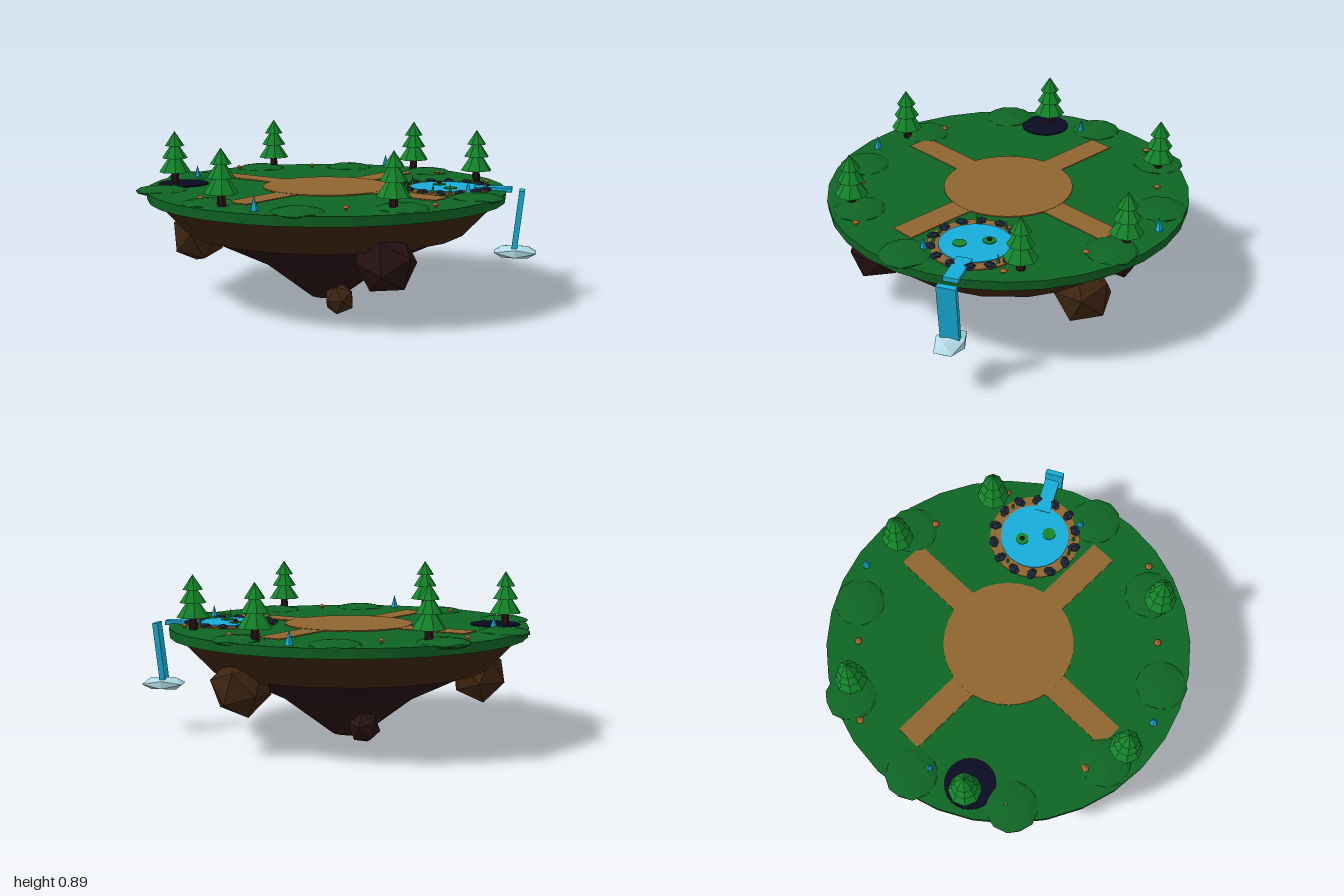
import * as THREE from 'three';

const paint = (name, color, extra = {}) => {
  const m = new THREE.MeshStandardMaterial({ color, flatShading: true, ...extra });
  m.name = name;
  return m;
};

export function createModel() {
  const island = new THREE.Group();
  island.name = 'floatingIsland';

  const grass = paint('grass green', 0x0f6424);
  const leaf = paint('foliage green', 0x14842a);
  const sand = paint('path tan', 0x8f642f);
  const dirt = paint('dirt brown', 0x3d2410);
  const deep = paint('deep rock', 0x271113);
  const water = paint('water blue', 0x16acd8);
  const foamWhite = paint('foam', 0xb0dbe6);
  const stone = paint('stone slate', 0x1c2536);
  const voidBlue = paint('hollow navy', 0x0a0a22);
  const cap = paint('mushroom orange', 0xa85f2c);

  const add = (name, geo, mat, x = 0, y = 0, z = 0, parent = island) => {
    const m = new THREE.Mesh(geo, mat);
    m.name = name;
    m.position.set(x, y, z);
    parent.add(m);
    return m;
  };
  const cyl = (top, bottom, h, n) => new THREE.CylinderGeometry(top, bottom, h, n);

  // Ground layers, from turf down to the tip
  const TOP = 0.6;
  add('turf', cyl(0.97, 0.965, 0.052, 32), grass, 0, TOP - 0.026, 0);
  add('dirtLayer', cyl(0.925, 0.755, 0.176, 20), dirt, 0, 0.462, 0);
  add('rockLayer', cyl(0.715, 0.36, 0.17, 16), deep, 0, 0.289, 0);
  add('rockTip', cyl(0.36, 0.09, 0.204, 16), deep, 0, 0.102, 0);

  // Rocks hanging below: x, y, z, radius, material, turn
  [
    [-0.6, 0.32, 0.38, 0.155, dirt, 0.4],
    [0.18, 0.34, -0.73, 0.16, dirt, 1.1],
    [0.64, 0.32, 0.35, 0.165, deep, 2.0],
    [0.45, 0.13, 0.48, 0.08, dirt, 0.7],
    [-0.4, 0.155, -0.48, 0.083, deep, 1.6],
  ].forEach(([x, y, z, r, mat, turn]) => {
    const rock = add('hangingRock', new THREE.IcosahedronGeometry(r, 0), mat, x, y, z);
    rock.rotation.set(turn, turn * 1.7, turn * 0.5);
  });

  // Plaza and crossing paths
  add('plaza', cyl(0.347, 0.347, 0.006, 32), sand, 0, TOP + 0.003, 0);
  add('pathAcross', new THREE.BoxGeometry(1.48, 0.005, 0.14), sand, 0, TOP + 0.0025, 0);
  add('pathAlong', new THREE.BoxGeometry(0.14, 0.0045, 1.48), sand, 0, TOP + 0.00225, 0);

  // Dark hollow
  add('hollow', cyl(0.135, 0.135, 0.006, 24), voidBlue, -0.685, TOP + 0.003, 0.4);

  // Pond with bank, stones, lily pads and reeds
  const pond = new THREE.Group();
  pond.name = 'pond';
  pond.position.set(0.545, TOP, -0.335);
  island.add(pond);
  add('bank', cyl(0.245, 0.245, 0.006, 28), sand, 0, 0.003, 0, pond);
  add('pondWater', cyl(0.187, 0.187, 0.012, 28), water, 0, 0.006, 0, pond);
  for (let i = 0; i < 14; i++) {
    const a = (i / 14) * Math.PI * 2 + 0.2;
    const s = add('pondStone', new THREE.DodecahedronGeometry(0.034, 0), stone,
      Math.cos(a) * 0.225, 0.008, Math.sin(a) * 0.225, pond);
    s.scale.set(1, 0.5, 0.8);
    s.rotation.y = i * 1.3;
  }
  add('lilyPad', cyl(0.035, 0.035, 0.005, 10), leaf, -0.06, 0.0145, -0.037, pond);
  add('lilyFlower', new THREE.IcosahedronGeometry(0.014, 0), dirt, -0.06, 0.022, -0.037, pond);
  add('lilyPad', cyl(0.036, 0.036, 0.005, 10), leaf, 0.064, 0.0145, 0.048, pond);
  [[-0.21, 0], [-0.15, 0.15], [0.045, -0.21], [0.135, 0.165], [0.055, 0.205]].forEach(([x, z]) =>
    add('reed', new THREE.ConeGeometry(0.011, 0.058, 5), leaf, x, 0.029, z, pond));

  // Outflow, waterfall and foam
  const outflow = new THREE.Group();
  outflow.name = 'outflow';
  outflow.rotation.y = 0.49;
  pond.add(outflow);
  add('channel', new THREE.BoxGeometry(0.2, 0.024, 0.08), water, 0.257, 0.004, 0, outflow);
  const fall = add('waterfall', new THREE.BoxGeometry(0.03, 0.345, 0.1), water, 0.392, -0.17, 0, outflow);
  fall.rotation.z = -0.11;
  add('foam', new THREE.IcosahedronGeometry(0.125, 0), foamWhite, 0.38, -0.335, 0, outflow)
    .scale.set(1.05, 0.32, 0.7);

  // Pine trees
  [[0, -0.845], [0.545, -0.655], [-0.735, -0.43], [-0.735, 0.415], [0, 0.845], [0.73, 0.42]]
    .forEach(([x, z]) => {
      const tree = new THREE.Group();
      tree.name = 'pineTree';
      tree.position.set(x, TOP, z);
      island.add(tree);
      add('trunk', cyl(0.018, 0.024, 0.08, 6), deep, 0, 0.04, 0, tree);
      [[0.087, 0.065, 0.13], [0.07, 0.142, 0.105], [0.053, 0.21, 0.08]].forEach(([r, base, h]) =>
        add('needles', new THREE.ConeGeometry(r, h, 8), leaf, 0, base + h / 2, 0, tree));
    });

  // Low bushes
  [[-0.395, -0.735], [0.105, -0.84], [-0.79, -0.38], [-0.86, 0.15], [-0.62, 0.635],
    [-0.115, 0.815], [0.395, 0.74], [0.735, 0.35], [0.85, -0.16]].forEach(([x, z], i) => {
    const bush = add('bush', new THREE.IcosahedronGeometry(0.139, 1), grass, x, TOP - 0.003, z);
    bush.scale.y = 0.19;
    bush.rotation.y = i * 0.8;
  });

  // Crystals
  [[-0.22, -0.87], [-0.775, 0.195], [0.215, 0.85], [0.77, -0.2]].forEach(([x, z]) =>
    add('crystal', new THREE.ConeGeometry(0.022, 0.075, 5), water, x, TOP + 0.0375, z));

  // Mushrooms
  [[0.215, -0.775], [-0.555, -0.575], [-0.85, -0.245], [-0.635, 0.61], [-0.215, 0.765],
    [0.555, 0.567], [0.85, 0.235], [0.63, -0.625]].forEach(([x, z]) => {
    add('mushroomStem', cyl(0.007, 0.008, 0.016, 6), sand, x, TOP + 0.008, z);
    add('mushroomCap', new THREE.ConeGeometry(0.02, 0.014, 7), cap, x, TOP + 0.02, z);
  });

  return island;
}
